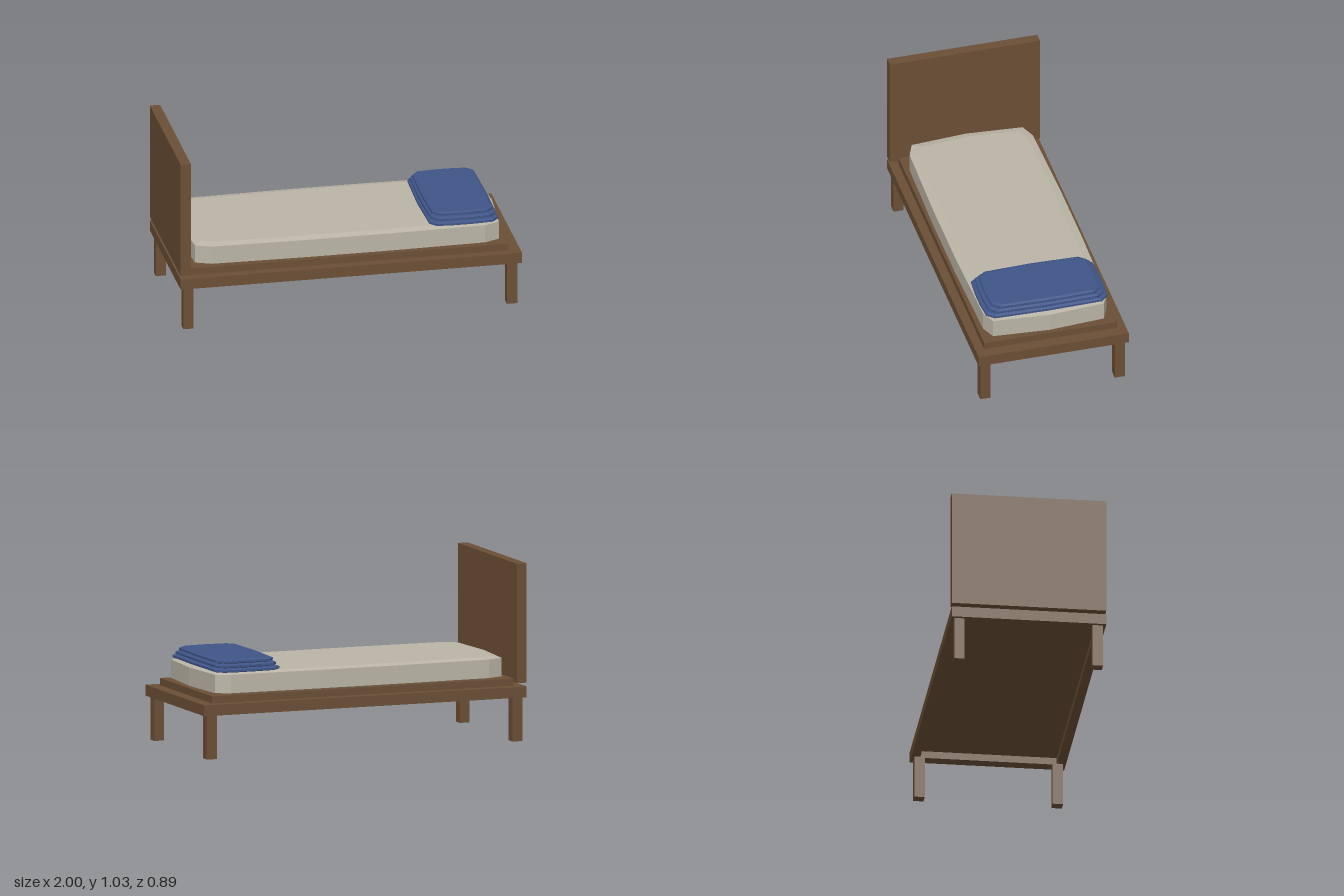
import * as THREE from 'three';

const wood = new THREE.MeshStandardMaterial({ name: 'wood', color: 0x6b4f35 });
const linen = new THREE.MeshStandardMaterial({ name: 'linen', color: 0xbab5a6 });
const blue = new THREE.MeshStandardMaterial({ name: 'blue cloth', color: 0x3f5588 });

// Box given by its lower and upper corners
function box(name, [x0, y0, z0], [x1, y1, z1]) {
  const geometry = new THREE.BoxGeometry(x1 - x0, y1 - y0, z1 - z0);
  geometry.translate((x0 + x1) / 2, (y0 + y1) / 2, (z0 + z1) / 2);
  const mesh = new THREE.Mesh(geometry, wood);
  mesh.name = name;
  return mesh;
}

// Faceted cushion: a half outline mirrored in z, stacked in rings of [y, inset]
function cushion(name, half, rings, material) {
  const outline = [...half, ...half.slice(1, -1).reverse().map(([x, z]) => [x, -z])];
  const n = outline.length;
  const cx = (half[0][0] + half[half.length - 1][0]) / 2;
  const hx = half[0][0] - cx;
  const hz = Math.max(...half.map((p) => p[1]));
  const positions = [], index = [];
  for (const [y, inset] of rings) {
    for (const [x, z] of outline) {
      positions.push(cx + (x - cx) * (1 - inset / hx), y, z * (1 - inset / hz));
    }
  }
  const last = rings.length - 1;
  positions.push(cx, rings[0][0], 0, cx, rings[last][0], 0);
  const bottom = n * rings.length;
  for (let i = 0; i < n; i++) {
    const j = (i + 1) % n;
    for (let r = 0; r < last; r++) {
      const a = r * n + i, b = r * n + j;
      index.push(a, a + n, b, b, a + n, b + n);
    }
    index.push(bottom, i, j, bottom + 1, last * n + j, last * n + i);
  }
  const indexed = new THREE.BufferGeometry();
  indexed.setAttribute('position', new THREE.Float32BufferAttribute(positions, 3));
  indexed.setIndex(index);
  const geometry = indexed.toNonIndexed();
  geometry.computeVertexNormals();
  const mesh = new THREE.Mesh(geometry, material);
  mesh.name = name;
  return mesh;
}

export function createModel() {
  const bed = new THREE.Group();
  bed.name = 'bed';

  // Rail frame around a raised base board
  const low = 0.255, high = 0.318, w = 0.447, inner = 0.395;
  bed.add(
    box('footRail', [0.93, low, -w], [1, high, w]),
    box('headRail', [-1, low, -w], [-0.94, high, w]),
    box('leftRail', [-0.94, low, -w], [0.93, high, -inner]),
    box('rightRail', [-0.94, low, inner], [0.93, high, w]),
    box('baseBoard', [-0.94, 0.297, -inner], [0.93, 0.36, inner]),
  );

  // Headboard, set just above the frame
  bed.add(box('headboard', [-1, 0.34, -w], [-0.94, 1.033, w]));

  // Four square legs
  for (const x of [-0.98, 0.915]) {
    for (const z of [-0.43, 0.37]) {
      bed.add(box('leg', [x, 0, z], [x + 0.06, low, z + 0.06]));
    }
  }

  // Mattress with gently bowed sides and soft edges
  const mattress = [
    [0.912, 0], [0.887, 0.33], [0.8, 0.367], [0.25, 0.378],
    [-0.25, 0.378], [-0.8, 0.367], [-0.893, 0.33], [-0.918, 0],
  ];
  bed.add(cushion('mattress', mattress,
    [[0.36, 0.03], [0.367, 0], [0.474, 0], [0.484, 0.045]], linen));

  // Pillow made of three stepped layers
  const pillow = new THREE.Group();
  pillow.name = 'pillow';
  const layers = [
    [0.473, 0.891, 0.368, 0.484],
    [0.484, 0.879, 0.349, 0.507],
    [0.496, 0.867, 0.328, 0.53],
  ];
  for (const [x0, x1, z, y] of layers) {
    const half = [
      [x1, 0], [x1 - 0.007, z - 0.05], [x1 - 0.045, z - 0.008], [x1 - 0.15, z],
      [x0 + 0.15, z], [x0 + 0.045, z - 0.008], [x0 + 0.009, z - 0.05], [x0, 0],
    ];
    pillow.add(cushion('pillowLayer', half,
      [[y, 0.016], [y + 0.005, 0], [y + 0.017, 0], [y + 0.023, 0.014]], blue));
  }
  bed.add(pillow);
  return bed;
}
